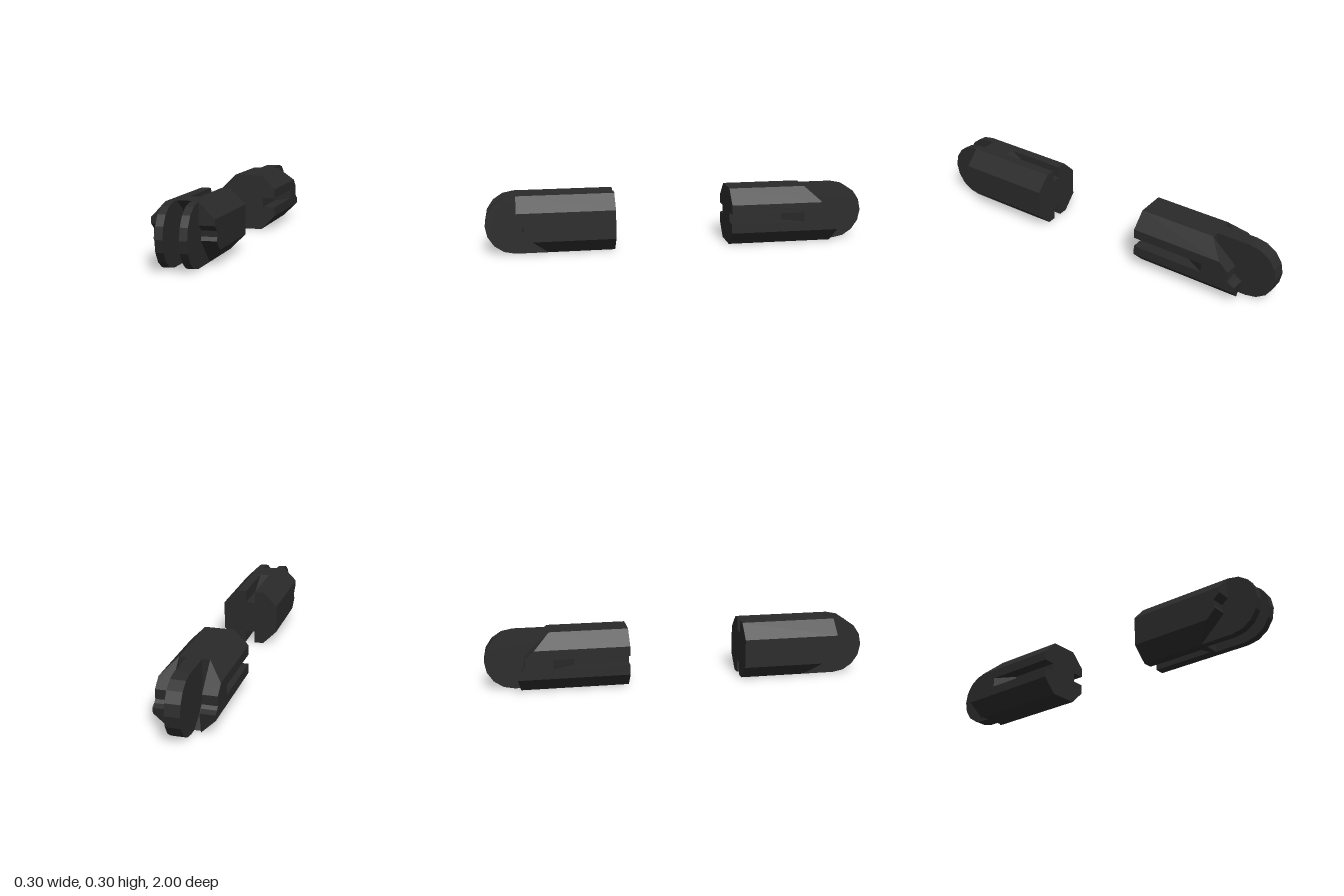
import * as THREE from 'three';

const black = new THREE.MeshStandardMaterial({ color: 0x2a2a2a });
black.name = 'black plastic';

// Solid between two side profiles of [z, y] points, at x0 and x1
function slab(name, x0, x1, a, b = a) {
  let A = a.map(p => new THREE.Vector2(p[0], p[1]));
  let B = b.map(p => new THREE.Vector2(p[0], p[1]));
  if (THREE.ShapeUtils.area(A) < 0) { A.reverse(); B.reverse(); }
  const pos = [];
  const put = (x, p) => pos.push(x, p.y, p.x);
  for (const [i, j, k] of THREE.ShapeUtils.triangulateShape(A, []))
    [i, j, k].forEach(n => put(x0, A[n]));
  for (const [i, j, k] of THREE.ShapeUtils.triangulateShape(B, []))
    [i, k, j].forEach(n => put(x1, B[n]));
  A.forEach((p, i) => {
    const n = (i + 1) % A.length;
    put(x0, p); put(x1, B[n]); put(x0, A[n]);
    put(x0, p); put(x1, B[i]); put(x1, B[n]);
  });
  const g = new THREE.BufferGeometry();
  g.setAttribute('position', new THREE.Float32BufferAttribute(pos, 3));
  g.computeVertexNormals();
  const mesh = new THREE.Mesh(g, black);
  mesh.name = name;
  return mesh;
}

// The same slab on both sides of x = 0
function pair(group, name, x0, x1, a, b = a) {
  group.add(slab(name + 'Left', x0, x1, a, b), slab(name + 'Right', -x1, -x0, b, a));
}

// Bar profile with a half-round end (half of a 16-sided circle)
function roundBar(zStart, dir) {
  const pts = [[zStart, 0]];
  for (let i = 0; i <= 8; i++) {
    const t = -Math.PI / 2 + i * Math.PI / 8;
    pts.push([dir * (0.85 + 0.15 * Math.cos(t)), 0.15 + 0.15 * Math.sin(t)]);
  }
  pts.push([zStart, 0.3]);
  return pts;
}

// Outer edge of a wing: chamfered to the octagon; a third value gives the shifted z
const chamfer = pts => pts.map(([z, y, zOut = z]) => [zOut, THREE.MathUtils.clamp(y, 0.075, 0.225)]);

export function createModel() {
  const model = new THREE.Group();
  model.name = 'hingeConnectors';

  // Front connector: forked end, grooves above and below
  const front = new THREE.Group();
  front.name = 'forkConnector';
  const socket = [[0.69, 0], [0.69, 0.207], [0.74, 0.256], [0.815, 0.3]];
  front.add(slab('groovedCore', -0.025, 0.025, [
    [0.34, 0.065], [0.55, 0.065], [0.665, 0], ...socket,
    [0.665, 0.3], [0.55, 0.235], [0.34, 0.235]]));
  pair(front, 'coreSide', 0.025, 0.0375, [[0.34, 0], ...socket, [0.34, 0.3]]);
  pair(front, 'forkPlate', 0.0375, 0.075, roundBar(0.34, 1));
  const frontWing = [
    [0.34, 0], [0.682, 0, 0.764], [0.815, 0.122], [0.805, 0.14], [0.807, 0.168],
    [0.825, 0.183], [0.842, 0.195], [0.842, 0.3], [0.34, 0.3]];
  pair(front, 'wing', 0.075, 0.15, frontWing, chamfer(frontWing));

  // Back connector: single tongue, grooves in the two sides
  const back = new THREE.Group();
  back.name = 'tongueConnector';
  back.add(slab('tongue', -0.0375, 0.0375, roundBar(-0.265, -1)));
  pair(back, 'tongueCheek', 0.0375, 0.075, [
    [-0.265, 0], [-0.805, 0], [-0.73, 0.044], [-0.675, 0.093], [-0.675, 0.3], [-0.265, 0.3]]);
  const backWing = [
    [-0.265, 0], [-0.82, 0, -0.836], [-0.842, 0.105], [-0.815, 0.117], [-0.8, 0.132],
    [-0.8, 0.18], [-0.67, 0.3, -0.751], [-0.265, 0.3],
    [-0.265, 0.175], [-0.655, 0.175], [-0.655, 0.125], [-0.265, 0.125]];
  pair(back, 'wing', 0.075, 0.15, backWing, chamfer(backWing));

  // Floor of the side grooves, ending in a ramp
  const groove = z => [[z, 0.125], [-0.655, 0.125], [-0.655, 0.175], [z, 0.175]];
  pair(back, 'grooveFloor', 0.075, 0.085, groove(-0.265));
  pair(back, 'grooveRamp', 0.085, 0.15, groove(-0.545), groove(-0.6549));

  model.add(front, back);
  return model;
}
